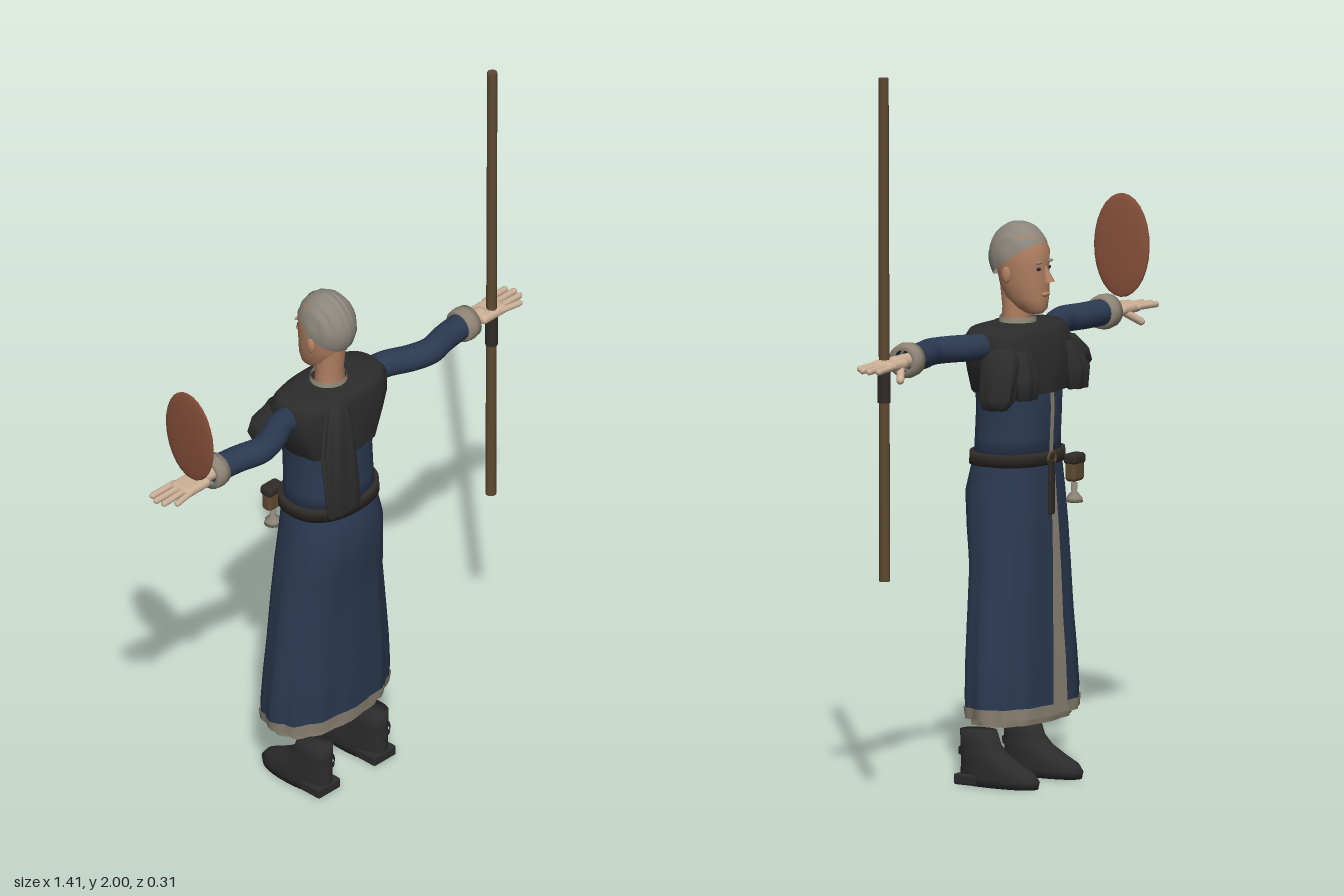
import * as THREE from 'three';
import { RoundedBoxGeometry } from 'three/addons/geometries/RoundedBoxGeometry.js';

const mat = (name, color, side = THREE.FrontSide) =>
  Object.assign(new THREE.MeshStandardMaterial({ color, side }), { name });

const M = {
  navy: mat('navy cloth', 0x2b3a52, THREE.DoubleSide),
  black: mat('black cloth', 0x2c2c2d, THREE.DoubleSide),
  trim: mat('pale trim', 0x8f8676, THREE.DoubleSide),
  hair: mat('grey hair', 0x8c877d, THREE.DoubleSide),
  face: mat('tanned skin', 0xb07f62),
  hand: mat('pale skin', 0xccb097),
  wood: mat('staff wood', 0x5f4a31),
  disc: mat('disc copper', 0x87503a),
  belt: mat('dark leather', 0x302b28, THREE.DoubleSide),
};

// Cross-section loft: rows are [y, halfWidth, zFront, zBack, xOffset, foldDepth]
function loft(rows, { cap = false, folds = 12, power = 0.85, seg = 48 } = {}) {
  if (cap) {
    const end = ([y, , f, b, x = 0]) => [y, 0, (f + b) / 2, (f + b) / 2, x];
    rows = [end(rows[0]), ...rows, end(rows[rows.length - 1])];
  }
  const pos = [], idx = [];
  const bend = (v) => Math.sign(v) * Math.abs(v) ** power;
  rows.forEach(([y, rx, f, b, x = 0, fold = 0]) => {
    for (let i = 0; i < seg; i++) {
      const a = (i / seg) * Math.PI * 2, k = 1 + fold * Math.cos(folds * a);
      pos.push(x + rx * k * bend(Math.cos(a)), y, (f + b) / 2 + ((b - f) / 2) * k * bend(Math.sin(a)));
    }
  });
  for (let j = 0; j < rows.length - 1; j++)
    for (let i = 0; i < seg; i++) {
      const n = (i + 1) % seg, p = j * seg + i, q = j * seg + n;
      idx.push(p, p + seg, q, q, p + seg, q + seg);
    }
  const g = new THREE.BufferGeometry();
  g.setAttribute('position', new THREE.Float32BufferAttribute(pos, 3));
  g.setIndex(idx);
  g.computeVertexNormals();
  return g;
}

// Thin vertical panel following rows of [y, halfWidth, z]
function panel(rows) {
  const g = new THREE.PlaneGeometry(2, 1, 2, rows.length - 1), p = g.attributes.position;
  for (let i = 0; i < p.count; i++) {
    const [y, w, z] = rows[Math.floor(i / 3)];
    p.setXYZ(i, p.getX(i) * w, y, z);
  }
  g.computeVertexNormals();
  return g;
}

export function createModel() {
  const root = new THREE.Group();
  root.name = 'robedFigure';
  const add = (name, geo, material, x = 0, y = 0, z = 0) => {
    const m = new THREE.Mesh(geo, material);
    m.name = name;
    m.position.set(x, y, z);
    root.add(m);
    return m;
  };
  const ball = (name, material, x, y, z, sx, sy, sz) =>
    add(name, new THREE.SphereGeometry(1, 20, 14).scale(sx, sy, sz), material, x, y, z);
  const limb = (name, material, a, b, r) => {
    const p = new THREE.Vector3(...a), q = new THREE.Vector3(...b), d = q.clone().sub(p);
    const m = add(name, new THREE.CapsuleGeometry(r, d.length(), 5, 10), material, ...p.add(q).multiplyScalar(0.5));
    m.quaternion.setFromUnitVectors(new THREE.Vector3(0, 1, 0), d.normalize());
    return m;
  };

  // Robe: skirt, pale hem, underskirt, bodice
  add('skirt', loft([
    [0.2, 0.2, -0.13, 0.088, 0.005, 0.03], [0.25, 0.206, -0.13, 0.09, 0.005, 0.03],
    [0.35, 0.198, -0.128, 0.095, 0.004, 0.025], [0.45, 0.187, -0.123, 0.098, 0.002, 0.022],
    [0.6, 0.171, -0.12, 0.1, 0, 0.018], [0.7, 0.162, -0.118, 0.113, 0, 0.012],
    [0.8, 0.149, -0.114, 0.124, 0, 0.006], [0.87, 0.138, -0.108, 0.108], [0.9, 0.135, -0.105, 0.1]]), M.navy);
  add('hemTrim', loft([[0.192, 0.203, -0.134, 0.09, 0.005, 0.03], [0.224, 0.208, -0.135, 0.094, 0.005, 0.03]]), M.trim);
  add('underskirt', loft([[0.172, 0.18, -0.11, 0.08, 0, 0.03], [0.23, 0.185, -0.12, 0.085, 0, 0.03]]), M.trim);
  add('bodice', loft([
    [0.88, 0.136, -0.104, 0.1], [0.95, 0.13, -0.105, 0.098], [1.03, 0.128, -0.11, 0.095],
    [1.1, 0.135, -0.108, 0.095], [1.2, 0.15, -0.09, 0.09]], { cap: true }), M.navy);
  add('frontLining', panel([
    [0.87, 0.01, -0.116], [0.7, 0.016, -0.126], [0.6, 0.02, -0.13],
    [0.45, 0.025, -0.134], [0.35, 0.03, -0.139], [0.2, 0.036, -0.142]]), M.trim);
  add('bodiceTrim', panel([[1.1, 0.009, -0.114], [1.03, 0.009, -0.116], [0.91, 0.009, -0.111]]), M.trim);

  // Belt with hanging strap, pouch and flask
  add('belt', loft([[0.878, 0.147, -0.116, 0.112], [0.912, 0.145, -0.114, 0.11]], { cap: true }), M.belt);
  add('buckle', new THREE.TorusGeometry(0.018, 0.004, 6, 16), M.wood, 0.01, 0.895, -0.12);
  add('beltStrap', new RoundedBoxGeometry(0.022, 0.15, 0.012, 2, 0.004), M.belt, 0.03, 0.82, -0.131);
  add('pouch', new RoundedBoxGeometry(0.055, 0.07, 0.035, 3, 0.012), M.wood, -0.09, 0.855, -0.128);
  add('pouchFlap', new RoundedBoxGeometry(0.06, 0.03, 0.04, 3, 0.01), M.belt, -0.09, 0.882, -0.128);
  add('flask', new THREE.LatheGeometry([[0, 0], [0.024, 0.002], [0.022, 0.014], [0.008, 0.03], [0.009, 0.055], [0, 0.056]]
    .map(([x, y]) => new THREE.Vector2(x, y)), 14), M.trim, -0.085, 0.762, -0.13);

  // Shoulder mantle, its side flaps and the cloth hanging behind
  add('mantle', loft([
    [1.075, 0.132, -0.118, 0.104, 0, 0.02], [1.13, 0.16, -0.12, 0.106, 0, 0.02],
    [1.18, 0.18, -0.114, 0.104, 0, 0.01], [1.232, 0.179, -0.1, 0.1], [1.252, 0.165, -0.085, 0.088],
    [1.258, 0.1, -0.07, 0.065], [1.262, 0.03, -0.04, 0.04]], { power: 0.75 }), M.black);
  for (const s of [-1, 1]) {
    const low = s > 0 ? 1.045 : 1.105;
    add('mantleFlap', loft([
      [low, 0.018, -0.085, -0.025, s * 0.192, 0.15], [low + 0.03, 0.03, -0.11, -0.01, s * 0.188, 0.1],
      [1.17, 0.034, -0.115, 0, s * 0.172], [1.21, 0.02, -0.09, 0.01, s * 0.15]], { cap: true, folds: 6 }), M.black);
    add('mantleFrontFold', loft([
      [1.07, 0.035, -0.135, -0.09, s * 0.125, 0.12], [1.13, 0.04, -0.14, -0.08, s * 0.125, 0.1],
      [1.2, 0.03, -0.11, -0.07, s * 0.11]], { cap: true, folds: 6 }), M.black);
  }
  add('hangingCloth', loft([
    [0.94, 0.058, 0.135, 0.157, -0.092, 0.1], [1.03, 0.06, 0.125, 0.153, -0.095, 0.1],
    [1.13, 0.058, 0.1, 0.142, -0.09, 0.1], [1.21, 0.045, 0.08, 0.125, -0.075, 0.06],
    [1.25, 0.03, 0.06, 0.1, -0.06]], { cap: true, folds: 7 }), M.black);

  // Head, face and hair
  add('collar', loft([[1.248, 0.056, -0.055, 0.05], [1.275, 0.05, -0.052, 0.046]], { power: 1 }), M.trim);
  add('neck', loft([[1.24, 0.045, -0.038, 0.044], [1.3, 0.041, -0.036, 0.038], [1.4, 0.045, -0.04, 0.05]], { power: 1 }), M.face);
  add('head', loft([
    [1.287, 0.02, -0.08, -0.035], [1.3, 0.035, -0.093, -0.005], [1.33, 0.052, -0.095, 0.03],
    [1.37, 0.06, -0.094, 0.045], [1.42, 0.066, -0.093, 0.055], [1.46, 0.066, -0.094, 0.055],
    [1.5, 0.054, -0.075, 0.045], [1.52, 0.03, -0.045, 0.02]], { cap: true, power: 0.95 }), M.face);
  const nose = add('nose', new THREE.ConeGeometry(0.014, 0.055, 10).scale(1, 1, 1.3), M.face, 0, 1.4, -0.097);
  nose.rotation.x = 0.25;
  ball('lips', M.face, 0, 1.341, -0.093, 0.018, 0.007, 0.008);
  for (const s of [-1, 1]) {
    ball('ear', M.face, s * 0.065, 1.395, -0.008, 0.008, 0.023, 0.014);
    ball('eye', M.belt, s * 0.025, 1.412, -0.087, 0.009, 0.005, 0.005);
    ball('brow', M.hair, s * 0.026, 1.43, -0.089, 0.016, 0.004, 0.006);
  }
  const cap = new THREE.SphereGeometry(1, 40, 24, 0, Math.PI * 2, 0, 1.62).rotateX(0.55);
  const hp = cap.attributes.position;
  for (let i = 0; i < hp.count; i++) { // combed ridges running front to back
    const k = 1 + 0.018 * Math.cos(hp.getX(i) * 24);
    hp.setXYZ(i, hp.getX(i) * k * 0.074, hp.getY(i) * k * 0.096, hp.getZ(i) * k * 0.087);
  }
  cap.computeVertexNormals();
  add('hair', cap, M.hair, 0, 1.438, -0.009);

  for (const s of [-1, 1]) {
    // Sleeve and cuff
    const path = new THREE.CatmullRomCurve3([
      [0.12, 1.205, 0], [0.2, 1.212, 0.012], [0.27, 1.214, 0.045], [0.33, 1.215, 0.06],
      [0.4, 1.215, 0.045], [0.49, 1.215, 0.034]].map(([x, y, z]) => new THREE.Vector3(s * x, y, z)));
    add('sleeve', new THREE.TubeGeometry(path, 28, 0.037, 16), M.navy);
    const cuff = add('cuff', new THREE.LatheGeometry([[0.03, -0.02], [0.045, -0.022], [0.049, 0], [0.046, 0.022], [0.03, 0.02]]
      .map(([x, y]) => new THREE.Vector2(x, y)), 20), M.trim, s * 0.488, 1.215, 0.036);
    cuff.rotation.z = Math.PI / 2;

    // Hand with spread fingers
    const at = (x, y, z) => [s * x, y, z];
    limb('wrist', M.hand, at(0.49, 1.215, 0.035), at(0.55, 1.215, 0.035), 0.02).scale.z = 1.2;
    add('palm', new RoundedBoxGeometry(0.095, 0.028, 0.072, 4, 0.013), M.hand, s * 0.577, 1.214, 0.036);
    [[0.002, -0.002, 0.685], [0.025, 0.022, 0.695], [0.046, 0.047, 0.69], [0.065, 0.072, 0.665]].forEach(([z0, z1, x]) =>
      limb('finger', M.hand, at(0.605, 1.215, z0), at(x, 1.212, z1), 0.009));
    limb('thumb', M.hand, at(0.55, 1.208, 0.015), at(0.595, 1.178, -0.012), 0.011);

    // Boot with heel and ankle strap
    const x = s * 0.108;
    add('boot', loft([
      [0, 0.044, -0.135, 0.102, x], [0.02, 0.046, -0.14, 0.106, x], [0.04, 0.045, -0.125, 0.106, x],
      [0.06, 0.043, -0.085, 0.105, x], [0.085, 0.041, -0.04, 0.104, x], [0.11, 0.039, -0.015, 0.105, x],
      [0.15, 0.038, 0, 0.106, x]], { cap: true, power: 0.9, seg: 32 }), M.black);
    add('heel', new RoundedBoxGeometry(0.086, 0.03, 0.075, 2, 0.006), M.black, x, 0.015, 0.07);
    add('ankleStrap', loft([[0.082, 0.046, -0.038, 0.11, x], [0.1, 0.045, -0.02, 0.11, x]], { power: 0.9 }), M.black);
  }

  // Staff with wrapped grip
  const staff = add('staff', new THREE.CylinderGeometry(0.014, 0.015, 1.38, 10), M.wood, 0.58, 1.31, 0.05);
  staff.rotation.z = -0.004;
  add('staffGrip', new THREE.CylinderGeometry(0.018, 0.018, 0.11, 10), M.belt, 0.58, 1.165, 0.05);

  // Upright oval disc above the other hand
  const disc = ball('disc', M.disc, -0.59, 1.383, 0.046, 0.011, 0.142, 0.09);
  disc.rotation.z = 0.04;
  return root;
}
